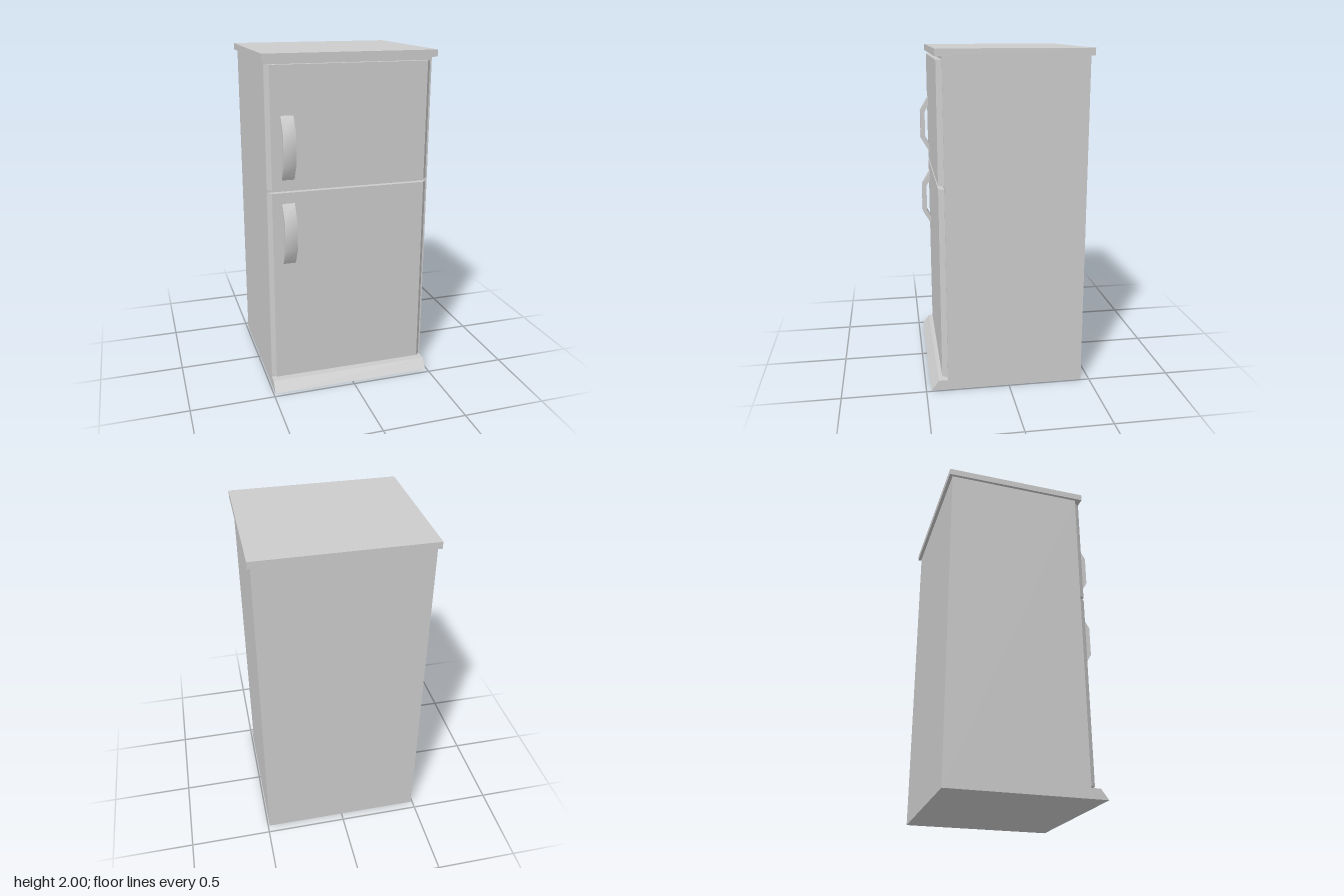
import * as THREE from 'three';
import { toCreasedNormals } from 'three/addons/utils/BufferGeometryUtils.js';

const material = new THREE.MeshStandardMaterial({ color: 0xcccccc });

// Extrude a list of 2D points by a depth, without bevels
function extrude(points, depth) {
  const shape = new THREE.Shape(points.map(([a, b]) => new THREE.Vector2(a, b)));
  return new THREE.ExtrudeGeometry(shape, { depth, bevelEnabled: false });
}

// Side profile of [z, y] points, extruded from x0 to x1
function sideProfile(points, x0, x1) {
  return extrude(points, x1 - x0).rotateY(-Math.PI / 2).translate(x1, 0, 0);
}

// Plan outline of [x, z] points, extruded from y0 to y1
function planProfile(points, y0, y1) {
  return extrude(points.map(([x, z]) => [x, -z]), y1 - y0)
    .rotateX(-Math.PI / 2).translate(0, y0, 0);
}

// Box given by its limits
function box(x0, x1, y0, y1, z0, z1) {
  return new THREE.BoxGeometry(x1 - x0, y1 - y0, z1 - z0)
    .translate((x0 + x1) / 2, (y0 + y1) / 2, (z0 + z1) / 2);
}

export function createModel() {
  const group = new THREE.Group();
  const add = (name, geometry) => {
    const mesh = new THREE.Mesh(geometry, material);
    mesh.name = name;
    group.add(mesh);
  };

  // Cabinet and overhanging top
  add('cabinet', box(-0.49, 0.49, 0, 1.96, -0.45, 0.37));
  add('topPanel', box(-0.507, 0.507, 1.96, 2, -0.47, 0.41));

  // Sloping kick plate along the foot
  add('kickPlate', sideProfile([[0.37, 0], [0.47, 0], [0.425, 0.06], [0.37, 0.06]], -0.49, 0.49));

  // Doors with chamfered vertical edges
  const doorPlan = [[-0.488, 0.37], [-0.465, 0.402], [0.453, 0.402], [0.48, 0.37]];
  add('lowerDoor', planProfile(doorPlan, 0.073, 1.23));
  add('upperDoor', planProfile(doorPlan, 1.248, 1.94));

  // Bowed handles, softly shaded around the bends
  const handleProfile = [
    [0.40, 0], [0.455, 0.095], [0.455, 0.275], [0.40, 0.37],
    [0.40, 0.317], [0.427, 0.268], [0.427, 0.102], [0.40, 0.053],
  ];
  for (const [name, y] of [['lowerHandle', 0.8], ['upperHandle', 1.3]]) {
    const geometry = sideProfile(handleProfile, -0.408, -0.335).translate(0, y, 0);
    add(name, toCreasedNormals(geometry, Math.PI / 4));
  }

  return group;
}
